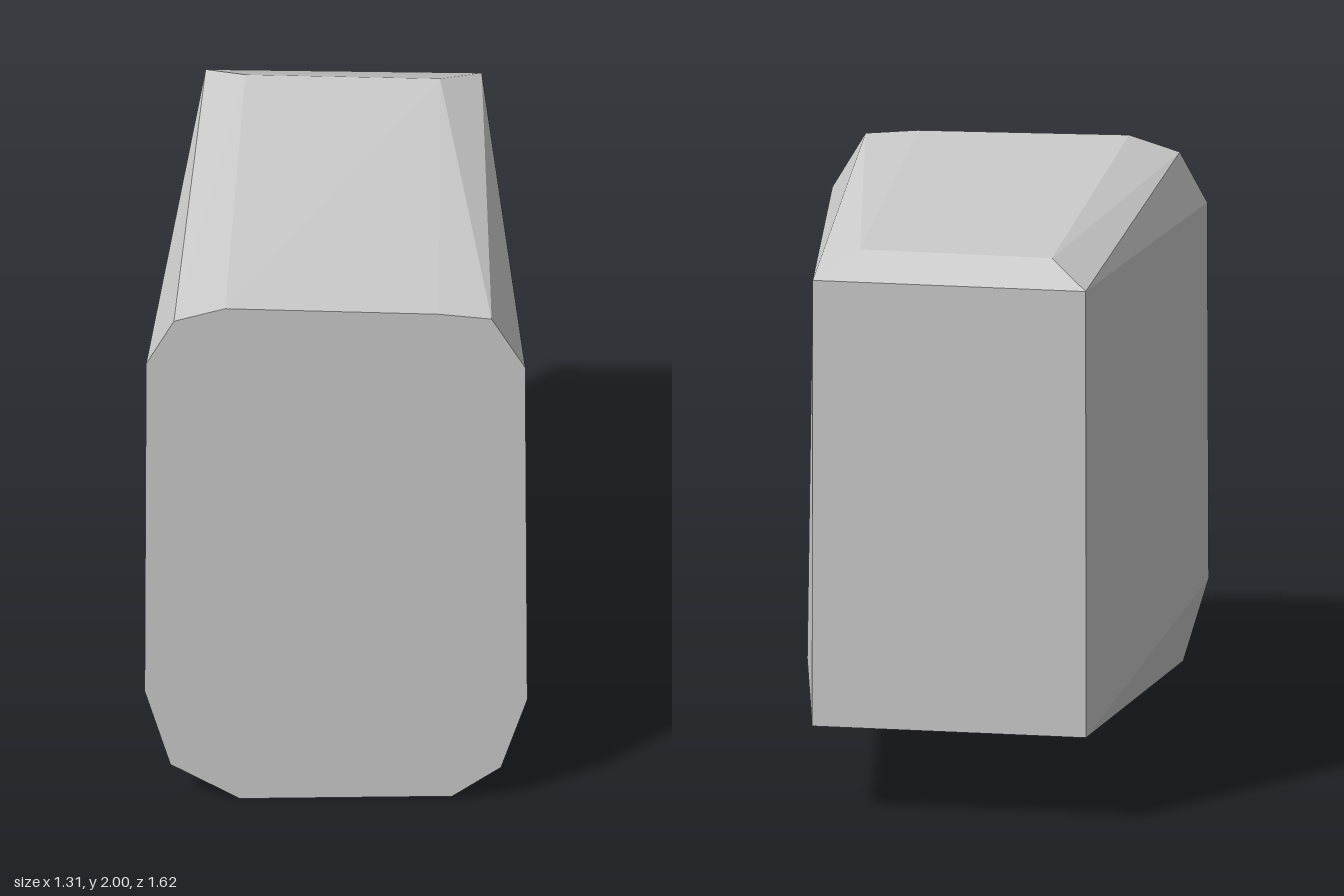
import * as THREE from 'three';
import { ConvexGeometry } from 'three/addons/geometries/ConvexGeometry.js';

export function createModel() {
  const group = new THREE.Group();
  group.name = 'taperedBlock';
  const grey = new THREE.MeshStandardMaterial({ color: 0xcccccc });
  grey.name = 'plain grey';

  // Twelve-sided front face, listed clockwise from the top
  const front = [
    [-0.38, 2.0], [0.35, 1.985], [0.53, 1.967], [0.645, 1.77],
    [0.652, 0.415], [0.562, 0.137], [0.395, 0.017], [-0.33, 0.0],
    [-0.567, 0.137], [-0.655, 0.435], [-0.65, 1.772], [-0.555, 1.947],
  ].map(([x, y]) => new THREE.Vector3(x, y, 0.81));

  // Smaller four-cornered back face
  const back = [
    [-0.473, 1.915, -0.808], [0.47, 1.913, -0.805],
    [0.473, 0.325, -0.798], [-0.473, 0.325, -0.8],
  ].map((p) => new THREE.Vector3(...p));

  // Bevel corners near the back: two on top, one low on the left side
  const bevels = [
    [-0.335, 1.987, -0.668], [0.33, 1.986, -0.655], [0.513, 0.52, -0.645],
  ].map((p) => new THREE.Vector3(...p));

  // Flat-faced solid spanning all corners
  const block = new THREE.Mesh(new ConvexGeometry([...front, ...back, ...bevels]), grey);
  block.name = 'block';
  group.add(block);
  return group;
}
